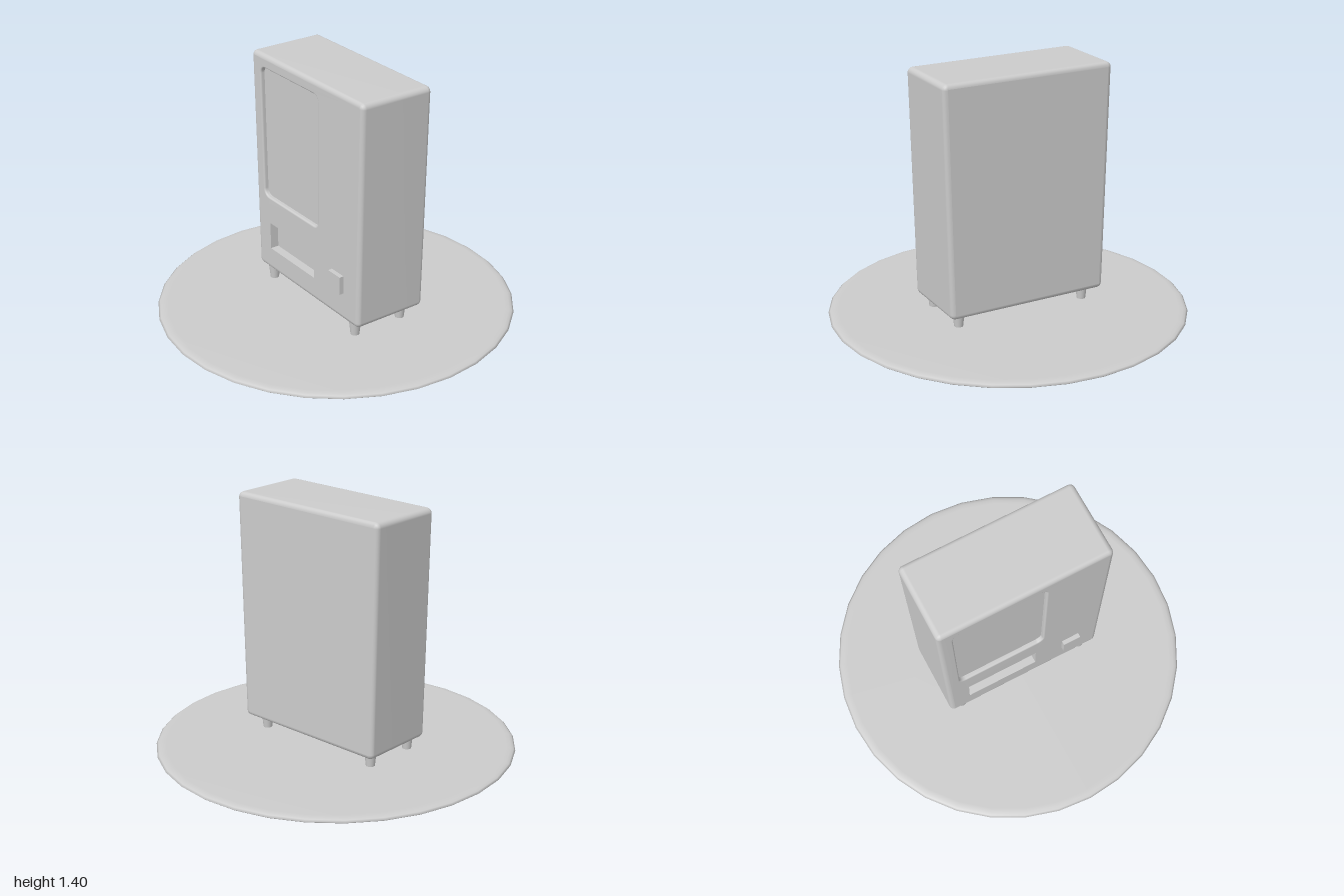
import * as THREE from 'three';
import { mergeGeometries, mergeVertices } from 'three/addons/utils/BufferGeometryUtils.js';

const material = new THREE.MeshStandardMaterial({ color: 0xcccccc });

function addMesh(parent, name, geometry, x = 0, y = 0, z = 0) {
  const mesh = new THREE.Mesh(geometry, material);
  mesh.name = name;
  mesh.position.set(x, y, z);
  parent.add(mesh);
  return mesh;
}

// Rounded, tapered outline, anticlockwise, pulled in by inset
function outline({ bottom, top, y0, y1, r }, inset = 0, steps = 5) {
  const corners = [[bottom[0], y0, 1, 1], [bottom[1], y0, -1, 1], [top[1], y1, -1, -1], [top[0], y1, 1, -1]];
  const radius = r - inset;
  const points = [];
  corners.forEach(([x, y, sx, sy], k) => {
    if (r === 0) return points.push(new THREE.Vector2(x, y));
    for (let i = 0; i <= steps; i++) {
      const a = Math.PI * (1 + k / 2 + i / steps / 2);
      points.push(new THREE.Vector2(x + sx * r + radius * Math.cos(a), y + sy * r + radius * Math.sin(a)));
    }
  });
  return points;
}

// Joins [outline, z] rings; back to front faces out, front to back faces in
function loft(rings) {
  const n = rings[0][0].length;
  const position = [], index = [];
  for (const [points, z] of rings) for (const p of points) position.push(p.x, p.y, z);
  for (let i = 0; i < rings.length - 1; i++) {
    for (let j = 0; j < n; j++) {
      const a = i * n + j, b = i * n + (j + 1) % n;
      index.push(a, b, b + n, a, b + n, a + n);
    }
  }
  const g = new THREE.BufferGeometry();
  g.setAttribute('position', new THREE.Float32BufferAttribute(position, 3));
  g.setIndex(index);
  return g;
}

// Flat face at depth z, optionally with holes or turned to the back
function face(points, z, holes = [], back = false) {
  const shape = new THREE.Shape(points);
  shape.holes = holes.map((h) => new THREE.Path(h));
  const g = new THREE.ShapeGeometry(shape).translate(0, 0, z);
  g.deleteAttribute('normal');
  g.deleteAttribute('uv');
  if (back) g.setIndex(Array.from(g.index.array).reverse());
  return g;
}

function smooth(parts) {
  const g = mergeVertices(mergeGeometries(parts), 1e-5);
  g.computeVertexNormals();
  return g;
}

function sharp(parts) {
  const g = mergeGeometries(parts).toNonIndexed();
  g.computeVertexNormals();
  return g;
}

export function createModel() {
  const model = new THREE.Group();
  model.name = 'vendingMachine';

  // Round ground plate with a softened rim
  const rim = [[0, 0], [0.97, 0], [0.99, 0.002], [1, 0.01], [0.99, 0.019], [0.975, 0.024], [0.95, 0.027], [0, 0.027]];
  addMesh(model, 'basePlate', new THREE.LatheGeometry(rim.map(([x, y]) => new THREE.Vector2(x, y)), 32));

  // Cabinet, wider at the top, with rounded edges and front openings
  const front = 0.2, back = -0.24, bevel = 0.025;
  const cabinet = { bottom: [-0.472, 0.472], top: [-0.5, 0.5], y0: 0.105, y1: 1.4, r: 0.03 };
  const window = { bottom: [-0.412, 0.122], top: [-0.425, 0.128], y0: 0.55, y1: 1.335, r: 0.05 };
  const slot = { bottom: [-0.352, 0.07], top: [-0.352, 0.07], y0: 0.24, y1: 0.4, r: 0 };
  const rings = [], windowRings = [];
  const steps = 4;
  for (let i = 0; i <= steps; i++) {
    const a = (i / steps) * Math.PI / 2;
    rings.push([outline(cabinet, bevel * (1 - Math.sin(a))), back + bevel * (1 - Math.cos(a))]);
    windowRings.push([outline(window, 0.01 * Math.sin(a)), front - 0.01 * (1 - Math.cos(a))]);
  }
  for (let i = steps; i >= 0; i--) rings.push([rings[i][0], front + back - rings[i][1]]);
  const glassOutline = outline(window, 0.01);
  windowRings.push([glassOutline, front - 0.025]);

  const slotOutline = outline(slot);
  addMesh(model, 'cabinet', smooth([
    loft(rings),
    face(rings[0][0], back, [], true),
    face(rings[0][0], front, [outline(window), slotOutline]),
    loft(windowRings),
  ]));

  // Display glass and delivery slot set into the front
  addMesh(model, 'displayWindow', sharp([face(glassOutline, front - 0.025)]));
  addMesh(model, 'deliverySlot', sharp([
    loft([[slotOutline, front], [slotOutline, front - 0.05]]),
    face(slotOutline, front - 0.05),
  ]));

  // Payment box
  addMesh(model, 'paymentBox', new THREE.BoxGeometry(0.104, 0.104, 0.035), 0.291, 0.321, 0.208);

  // Four tapered feet
  for (const x of [-0.387, 0.387]) {
    for (const z of [-0.15, 0.155]) {
      addMesh(model, 'foot', new THREE.CylinderGeometry(0.034, 0.024, 0.095, 16), x, 0.0675, z);
    }
  }
  return model;
}
